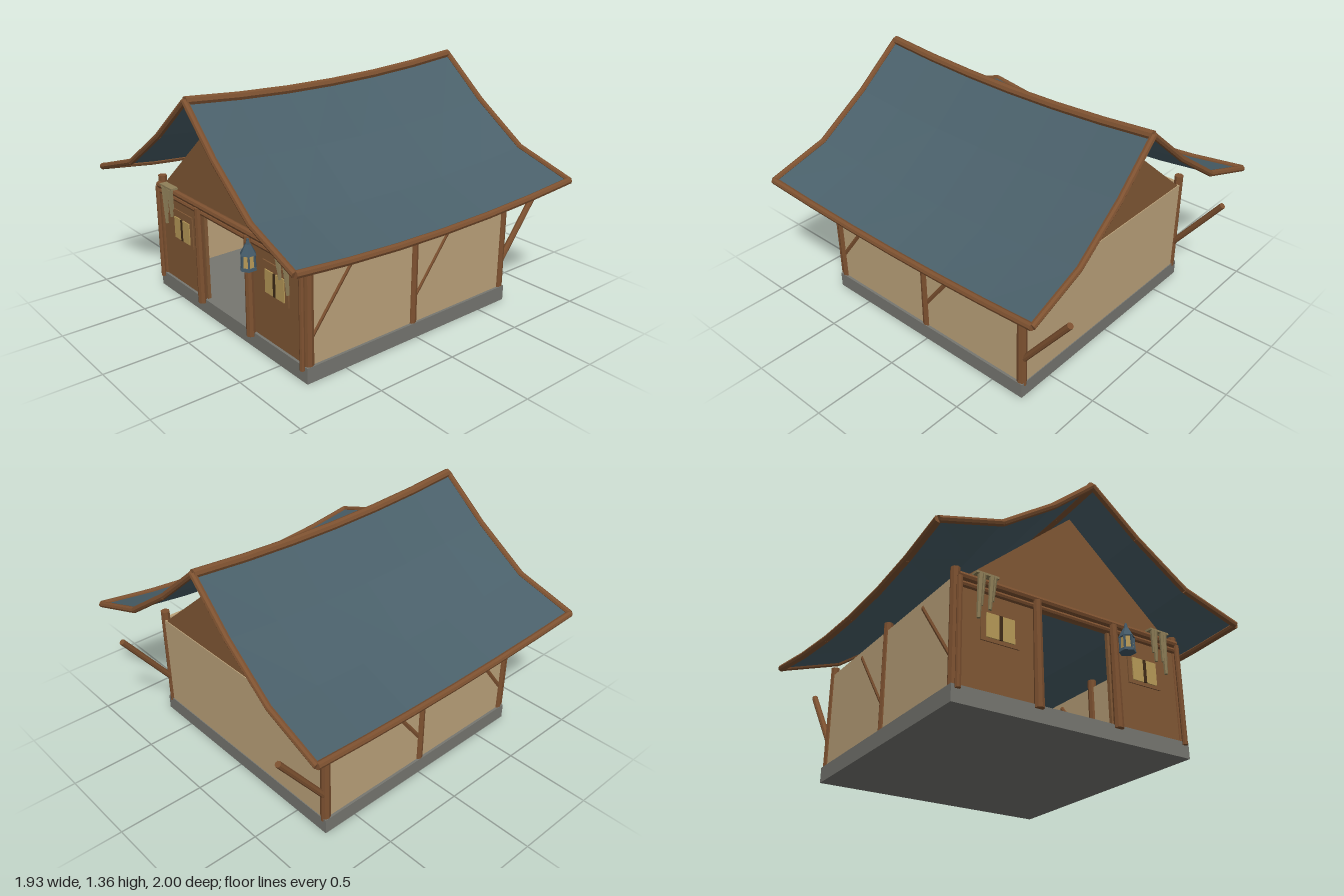
import * as THREE from 'three';

const mat = (name, color, side = THREE.FrontSide) => {
  const m = new THREE.MeshStandardMaterial({ color, side });
  m.name = name;
  return m;
};

export function createModel() {
  const group = new THREE.Group();
  const wood = mat('timber', 0x7d5130);
  const plank = mat('plank wall', 0x815835);
  const canvas = mat('canvas', 0xbba27a);
  const cloth = mat('roof cloth', 0x4a606a, THREE.DoubleSide);
  const stone = mat('stone', 0x767670);
  const glass = mat('amber pane', 0xb89a58);
  const olive = mat('dried bundle', 0x8f7f58);
  const dark = mat('dark wood', 0x3f2b18);
  const metal = mat('lantern metal', 0x445a68);

  const V = (x, y, z) => new THREE.Vector3(x, y, z);
  // faceted mesh
  const add = (name, geo, material, parent = group) => {
    const g = geo.index ? geo.toNonIndexed() : geo;
    g.computeVertexNormals();
    const mesh = new THREE.Mesh(g, material);
    mesh.name = name;
    parent.add(mesh);
    return mesh;
  };
  const box = (name, x0, x1, y0, y1, z0, z1, material) => {
    const g = new THREE.BoxGeometry(x1 - x0, y1 - y0, z1 - z0);
    g.translate((x0 + x1) / 2, (y0 + y1) / 2, (z0 + z1) / 2);
    return add(name, g, material);
  };
  // round pole between two points
  const pole = (name, a, b, r0, r1 = r0, material = wood, sides = 8) => {
    const d = b.clone().sub(a);
    const g = new THREE.CylinderGeometry(r1, r0, d.length(), sides);
    g.applyQuaternion(new THREE.Quaternion().setFromUnitVectors(V(0, 1, 0), d.normalize()));
    g.translate((a.x + b.x) / 2, (a.y + b.y) / 2, (a.z + b.z) / 2);
    return add(name, g, material);
  };
  const poles = (name, pts, r) => {
    for (let i = 1; i < pts.length; i++) pole(name, pts[i - 1], pts[i], r);
  };
  const extrude = (name, pts, z, depth, material, holes = []) => {
    const path = (p) => p.map(([x, y]) => new THREE.Vector2(x, y));
    const s = new THREE.Shape(path(pts));
    holes.forEach((h) => s.holes.push(new THREE.Path(path(h))));
    const g = new THREE.ExtrudeGeometry(s, { depth, bevelEnabled: false });
    g.translate(0, 0, z);
    return add(name, g, material);
  };

  // foundation
  box('foundation', -0.73, 0.73, 0, 0.09, -0.71, 0.75, stone);

  // walls and gables
  extrude('frontWall', [[-0.7, 0.09], [-0.22, 0.09], [-0.22, 0.61], [0.22, 0.61], [0.22, 0.09],
    [0.7, 0.09], [0.7, 0.67], [-0.7, 0.67]], 0.715, 0.02, plank);
  box('backWall', -0.7, 0.7, 0.09, 0.66, -0.705, -0.685, canvas);
  for (const s of [-1, 1]) {
    box('sideWall', s * 0.705 - 0.01, s * 0.705 + 0.01, 0.09, 0.66, -0.69, 0.72, canvas);
  }
  const gable = [[-0.67, 0.66], [0.67, 0.66], [0, 1.24]];
  extrude('frontGable', gable, 0.715, 0.02, plank);
  extrude('backGable', gable, -0.7, 0.02, plank);

  // side posts and slanted braces
  for (const s of [-1, 1]) {
    for (const z of [0.72, 0.016, -0.686]) {
      pole('sidePost', V(s * 0.702, 0.07, z), V(s * 0.702, 0.71, z), 0.028, 0.026);
      pole('brace', V(s * 0.702, 0.25, z - 0.015), V(s * 0.702, 0.625, z - 0.3), 0.018);
    }
    pole('frontCornerPost', V(s * 0.698, 0.07, 0.757), V(s * 0.698, 0.65, 0.757), 0.015);
    pole('doorPost', V(s * 0.246, 0.07, 0.757), V(s * 0.246, 0.65, 0.757), 0.026, 0.022);
  }

  // front beams
  pole('frontBeam', V(-0.7, 0.66, 0.748), V(0.7, 0.66, 0.748), 0.02);
  pole('lintel', V(-0.69, 0.622, 0.742), V(0.69, 0.622, 0.742), 0.016);

  // windows
  for (const s of [-1, 1]) {
    const c = s * 0.458;
    box('windowFrame', c - 0.11, c + 0.11, 0.355, 0.55, 0.734, 0.742, plank);
    for (const k of [-1, 1]) {
      const p = c + k * 0.046;
      box('windowPane', p - 0.036, p + 0.036, 0.375, 0.505, 0.74, 0.748, glass);
    }
    box('windowBar', c - 0.01, c + 0.01, 0.375, 0.505, 0.74, 0.75, dark);
  }

  // hanging bundles under a short rail
  for (const s of [-1, 1]) {
    box('bundleRail', s * 0.555 - 0.065, s * 0.555 + 0.065, 0.683, 0.695, 0.74, 0.785, olive);
    for (const [x, y, r] of [[0.597, 0.45, 0.017], [0.582, 0.52, 0.014], [0.533, 0.51, 0.016], [0.518, 0.56, 0.014]]) {
      pole('hangingBundle', V(s * (x - 0.006), 0.685, 0.775), V(s * x, y, 0.765), r, r * 0.6, olive, 6);
    }
  }

  // lantern
  const lantern = new THREE.Group();
  lantern.name = 'lantern';
  lantern.position.set(0.302, 0, 0.795);
  group.add(lantern);
  const ring = (name, rTop, rBottom, y0, y1, material) => {
    const g = new THREE.CylinderGeometry(rTop, rBottom, y1 - y0, 6);
    g.translate(0, (y0 + y1) / 2, 0);
    add(name, g, material, lantern);
  };
  ring('lanternBase', 0.045, 0.047, 0.49, 0.507, metal);
  ring('lanternGlass', 0.033, 0.038, 0.507, 0.58, glass);
  ring('lanternCap', 0.016, 0.046, 0.575, 0.63, metal);
  ring('lanternTop', 0.006, 0.012, 0.63, 0.66, metal);
  for (let i = 0; i < 6; i++) {
    const a = (i * Math.PI) / 3;
    const g = new THREE.BoxGeometry(0.01, 0.075, 0.01);
    g.rotateY(a);
    g.translate(Math.sin(a) * 0.037, 0.543, Math.cos(a) * 0.037);
    add('lanternBar', g, metal, lantern);
  }

  // sagging roof: profile columns are x, y, half length, sag, inward pull
  const profile = [
    [0, 1.335, 0.927, 0.045, 0],
    [0.275, 1.095, 0.94, 0.052, 0.008],
    [0.59, 0.872, 0.952, 0.06, 0.018],
    [0.947, 0.755, 0.967, 0.063, 0.03],
  ];
  const N = 6;
  const roofPoint = (s, i, j) => {
    const [x, y, half, sag, pull] = profile[i];
    const t = (j / N) * 2 - 1;
    const k = 1 - t * t;
    return V(s * (x - pull * k), y - sag * k, 0.012 + half * t);
  };
  const range = (n) => Array.from({ length: n + 1 }, (_, i) => i);
  for (const s of [-1, 1]) {
    const pos = [];
    for (let i = 0; i < 3; i++) {
      for (let j = 0; j < N; j++) {
        const a = roofPoint(s, i, j), b = roofPoint(s, i, j + 1);
        const c = roofPoint(s, i + 1, j + 1), d = roofPoint(s, i + 1, j);
        const tris = s > 0 ? [a, b, c, a, c, d] : [a, c, b, a, d, c];
        tris.forEach((p) => pos.push(p.x, p.y, p.z));
      }
    }
    const g = new THREE.BufferGeometry();
    g.setAttribute('position', new THREE.Float32BufferAttribute(pos, 3));
    add('roofCloth', g, cloth);
    // rim poles
    for (const j of [0, N]) poles('vergePole', range(3).map((i) => roofPoint(s, i, j)), 0.018);
    poles('eavePole', range(N).map((j) => roofPoint(s, 3, j)), 0.02);
  }
  poles('ridgePole', range(N).map((j) => roofPoint(1, 0, j)), 0.025);

  return group;
}
